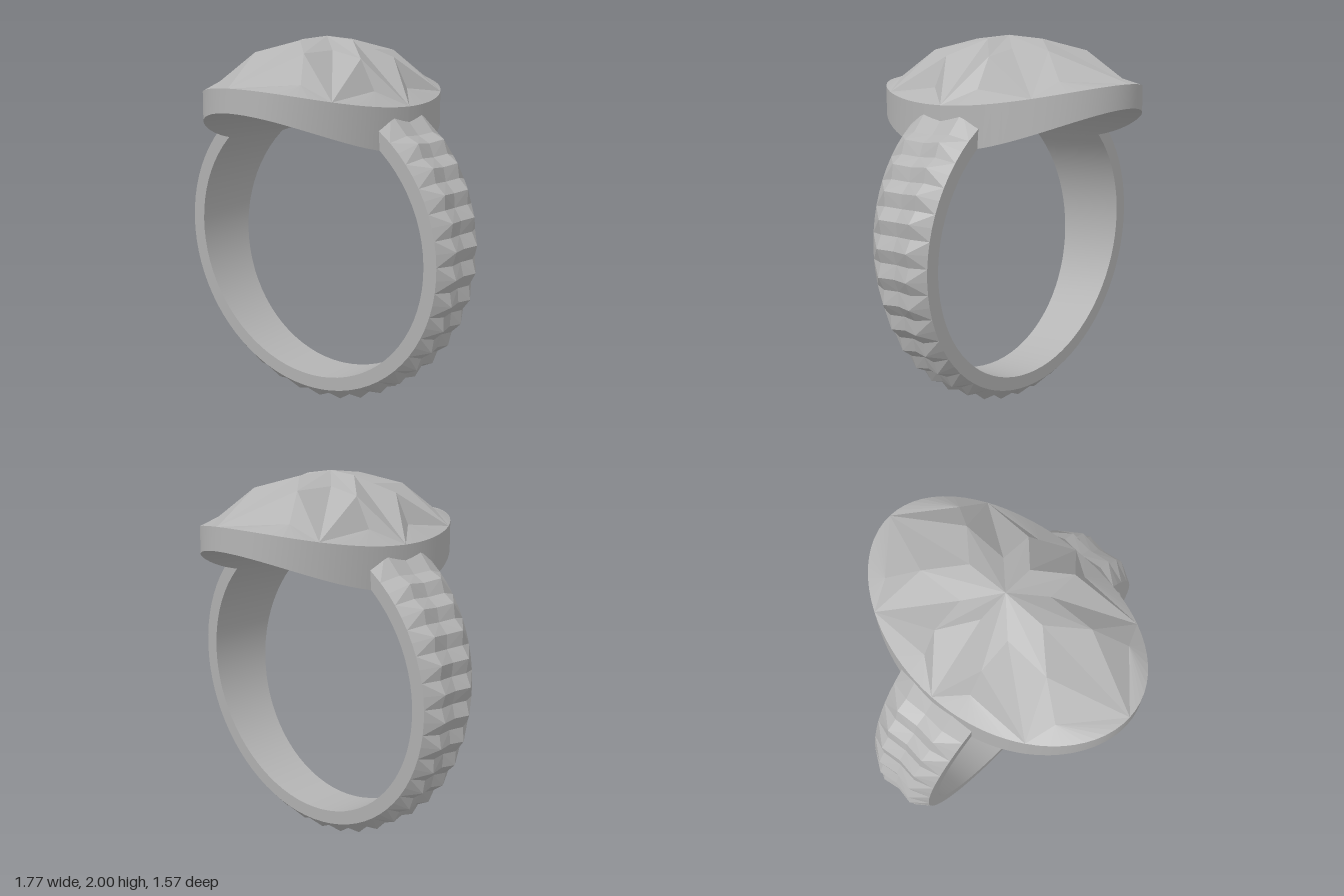
import * as THREE from 'three';

const CY = 0.89;             // height of the finger hole's centre
const HOLE = 0.75;           // finger hole radius
const RX = 0.53, RZ = 0.785; // half axes of the oval head
const V = (x, y, z) => new THREE.Vector3(x, y, z);

function facetMesh(name, tris, material) {
  const g = new THREE.BufferGeometry().setFromPoints(tris.flat());
  g.computeVertexNormals();
  const m = new THREE.Mesh(g, material);
  m.name = name;
  return m;
}

// Smooth strip joining two rows of points (normal = along row x from a to b)
function stripMesh(name, a, b, material) {
  const g = new THREE.BufferGeometry().setFromPoints([...a, ...b]);
  const n = a.length, idx = [];
  for (let i = 0; i < n - 1; i++) idx.push(i, i + 1, n + i, i + 1, n + i + 1, n + i);
  g.setIndex(idx);
  g.computeVertexNormals();
  const m = new THREE.Mesh(g, material);
  m.name = name;
  return m;
}

// Heights of the head's rim and of its hollow underside
const rimY = x => 0.43 + Math.sqrt(1.769 - x * x);
const underY = x => CY + Math.sqrt(HOLE * HOLE - x * x);
const rim = t => {
  const x = RX * Math.cos(t);
  return V(x, rimY(x), RZ * Math.sin(t));
};

function buildBand(metal) {
  const group = new THREE.Group();
  group.name = 'band';
  const N = 30, step = THREE.MathUtils.degToRad(4.7), END_X = 0.5;

  // Cross-section: edge, rail, centre, rail, edge, then the two inner corners
  const rows = [];
  for (let k = -N; k <= N; k++) {
    const odd = k & 1;
    const rail = odd ? 0.862 : 0.888, mid = odd ? 0.85 : 0.872;
    const place = (r, f) => {
      let x = r * Math.sin(k * step), y = CY - r * Math.cos(k * step);
      if (Math.abs(k) === N) {   // ends are cut upright where they meet the head
        x = Math.sign(k) * END_X;
        y = CY + Math.sqrt(r * r - x * x);
      }
      return V(x, y, f * (0.135 + 0.07 * (y - 0.07)));
    };
    rows.push([place(0.825, -1), place(rail, -0.52), place(mid, 0), place(rail, 0.52),
      place(0.825, 1), place(HOLE, 1), place(HOLE, -1)]);
  }

  const studs = [], sides = [];
  for (let i = 0; i < 2 * N; i++) {
    for (let j = 0; j < 7; j++) {
      if (j === 5) continue;
      const n = (j + 1) % 7;
      const a = rows[i][j], b = rows[i + 1][j], c = rows[i + 1][n], d = rows[i][n];
      const out = j < 4 ? studs : sides;
      // Diagonals always start from the raised rail points
      if ((i - N + j) & 1) out.push([a, b, c], [a, c, d]);
      else out.push([a, b, d], [b, c, d]);
    }
  }
  group.add(facetMesh('facetedStuds', studs, metal));
  group.add(facetMesh('bandSides', sides, metal));
  group.add(stripMesh('bandInside', rows.map(r => r[5]), rows.map(r => r[6]), metal));
  return group;
}

function buildHead(metal) {
  const group = new THREE.Group();
  group.name = 'head';

  // Key points of one quarter of the cut star
  const T = Math.acos(0.41 / RX);
  const top = V(0, 2, 0);
  const tipSide = rim(0), tipDiag = rim(T), tipLong = rim(Math.PI / 2);
  const notchSide = V(0.17, 1.98, 0), notchDiag = V(0.15, 1.93, 0.15), notchLong = V(0, 1.98, 0.23);
  const pointSide = V(0.33, 1.89, 0.15), pointLong = V(0.16, 1.92, 0.4);
  const outSide = V(0.415, 1.73, 0.15), outLong = V(0.265, 1.775, 0.555);

  const quarter = [
    // central star
    [top, notchSide, pointSide], [top, pointSide, notchDiag],
    [top, notchDiag, pointLong], [top, pointLong, notchLong],
    // petals
    [notchSide, pointSide, tipSide], [notchDiag, pointSide, tipDiag],
    [notchDiag, pointLong, tipDiag], [notchLong, pointLong, tipLong],
    // slopes between the petals
    [pointSide, tipSide, outSide], [pointSide, outSide, tipDiag],
    [pointLong, tipDiag, outLong], [pointLong, outLong, tipLong],
  ];
  // Flat margin running out to the oval rim
  const ts = [];
  const S = 10;
  for (let i = 0; i < S; i++) ts.push(T * i / S);
  for (let i = 0; i <= S; i++) ts.push(T + (Math.PI / 2 - T) * i / S);
  for (let i = 0; i < 2 * S; i++) {
    quarter.push([i < S ? outSide : outLong, rim(ts[i]), rim(ts[i + 1])]);
  }

  // Mirror into all four quarters, keeping every face pointing up
  const tris = [];
  for (const sx of [1, -1]) for (const sz of [1, -1]) {
    for (const tri of quarter) {
      const [a, b, c] = tri.map(p => V(p.x * sx, p.y, p.z * sz));
      const up = (b.z - a.z) * (c.x - a.x) - (b.x - a.x) * (c.z - a.z);
      tris.push(up > 0 ? [a, b, c] : [a, c, b]);
    }
  }
  group.add(facetMesh('starTop', tris, metal));

  // Oval wall, with the same rim points as the top
  const half = [...ts, ...ts.slice(0, -1).reverse().map(t => Math.PI - t)];
  const full = [...half, ...half.slice(1).map(t => t + Math.PI)];
  const upper = full.map(rim);
  const lower = upper.map(p => V(p.x, underY(p.x), p.z));
  group.add(stripMesh('headWall', lower, upper, metal).rotateY(0));
  group.children[1].geometry.index.array.reverse();
  group.children[1].geometry.computeVertexNormals();

  // Hollow underside following the finger hole
  const front = half.map(t => { const p = rim(t); return V(p.x, underY(p.x), p.z); });
  const back = front.map(p => V(p.x, p.y, -p.z));
  group.add(stripMesh('headUnderside', back, front, metal));
  const under = group.children[2].geometry;
  // x runs from + to -, so flip the strip if it does not face down
  if (under.attributes.normal.getY(S * 2) > 0) {
    under.index.array.reverse();
    under.computeVertexNormals();
  }
  return group;
}

export function createModel() {
  const metal = new THREE.MeshStandardMaterial({ color: 0xb4b4b4 });
  metal.name = 'silverGrey';
  const ring = new THREE.Group();
  ring.name = 'ring';
  ring.add(buildBand(metal), buildHead(metal));
  return ring;
}
